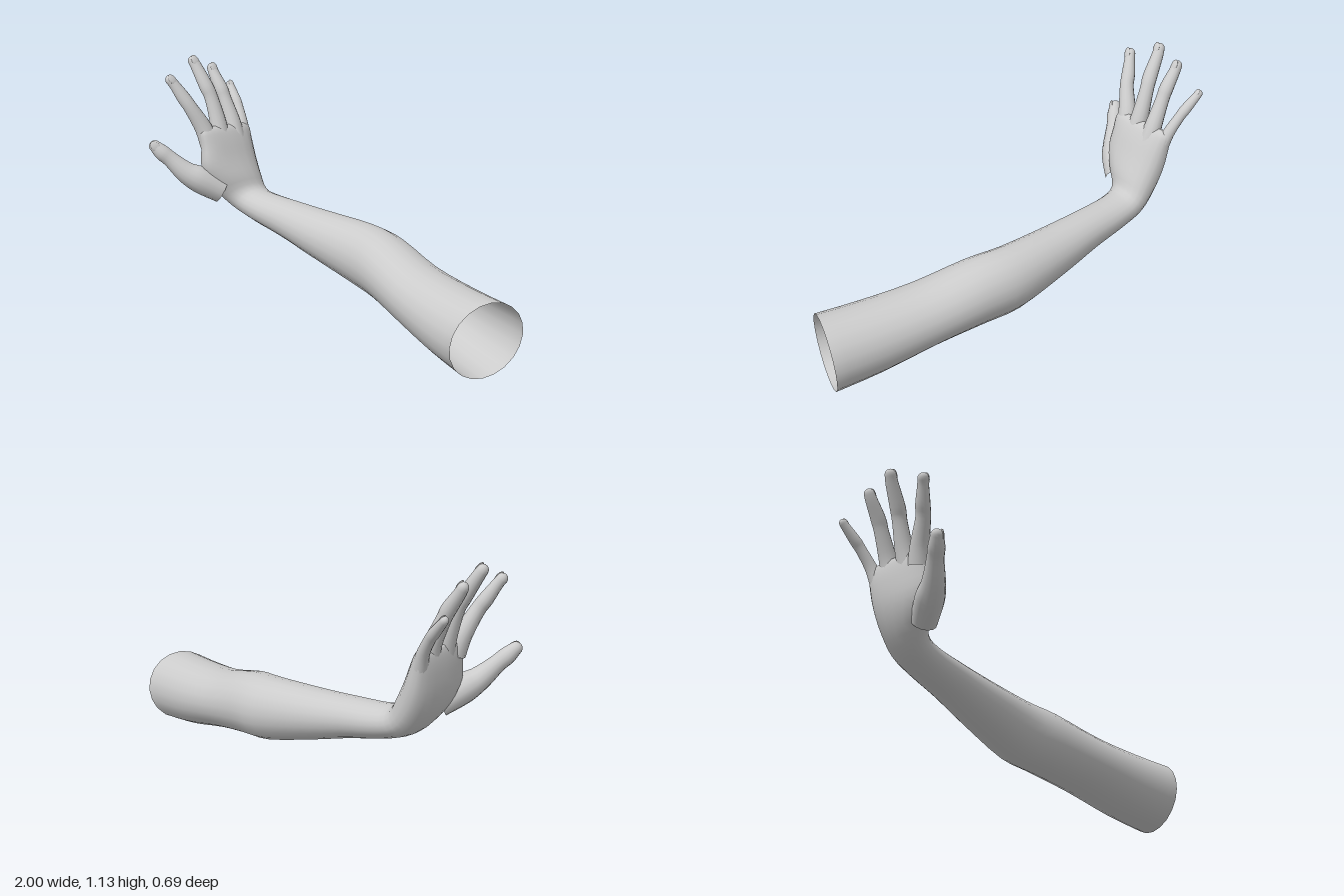
import * as THREE from 'three';

const V = (x, y, z) => new THREE.Vector3(x, y, z);

// Skin a list of rings (equal point counts) with shared vertices for smooth shading
function loft(rings, capEnd) {
  const n = rings[0].length, pos = [], idx = [];
  rings.forEach(r => r.forEach(p => pos.push(p.x, p.y, p.z)));
  for (let i = 0; i < rings.length - 1; i++) {
    for (let j = 0; j < n; j++) {
      const a = i * n + j, b = i * n + (j + 1) % n;
      idx.push(a, b, a + n, b, b + n, a + n);
    }
  }
  if (capEnd) {
    const last = rings[rings.length - 1], c = V(0, 0, 0);
    last.forEach(p => c.addScaledVector(p, 1 / n));
    const k = pos.length / 3, o = (rings.length - 1) * n;
    pos.push(c.x, c.y, c.z);
    for (let j = 0; j < n; j++) idx.push(o + j, o + (j + 1) % n, k);
  }
  const g = new THREE.BufferGeometry();
  g.setAttribute('position', new THREE.Float32BufferAttribute(pos, 3));
  g.setIndex(idx);
  g.computeVertexNormals();
  return g;
}

// Smoothly interpolate rows of numbers
function resample(rows, steps) {
  const out = [], last = rows.length - 1;
  for (let k = 0; k <= last * steps; k++) {
    const i = Math.min(Math.floor(k / steps), last - 1), t = k / steps - i;
    const at = m => rows[Math.max(0, Math.min(last, m))];
    out.push(rows[i].map((_, c) => {
      const p0 = at(i - 1)[c], p1 = at(i)[c], p2 = at(i + 1)[c], p3 = at(i + 2)[c];
      return p1 + 0.5 * t * (p2 - p0 + t * (2 * p0 - 5 * p1 + 4 * p2 - p3 + t * (3 * (p1 - p2) + p3 - p0)));
    }));
  }
  return out;
}

// Arm and palm: upper x,y, lower x,y, z back, z front, x skew, y skew, squareness
const ARM = [
  [0.975, 0.35, 0.94, 0.005, -0.29, 0.06, -0.22, 0, 1],
  [0.75, 0.357, 0.73, 0.04, -0.305, 0.035, -0.1, 0, 1],
  [0.5, 0.38, 0.48, 0.1, -0.32, 0.0, 0, 0, 1],
  [0.25, 0.44, 0.25, 0.142, -0.342, -0.043, 0, 0, 1],
  [0.07, 0.457, 0.07, 0.165, -0.343, -0.064, 0, 0, 1],
  [-0.2, 0.465, -0.2, 0.235, -0.288, -0.046, 0, 0, 1],
  [-0.4, 0.475, -0.4, 0.292, -0.24, -0.03, 0, 0, 1],
  [-0.56, 0.485, -0.58, 0.335, -0.205, -0.008, 0, 0, 1],
  [-0.63, 0.505, -0.71, 0.385, -0.188, 0.02, 0, 0, 0.95],
  [-0.655, 0.57, -0.785, 0.47, -0.186, 0.085, 0.05, 0, 0.9],
  [-0.69, 0.65, -0.825, 0.57, -0.188, 0.135, 0.1, 0, 0.85],
  [-0.725, 0.73, -0.835, 0.68, -0.188, 0.13, 0.15, 0.03, 0.8],
  [-0.757, 0.785, -0.83, 0.755, -0.187, 0.13, 0.16, 0.06, 0.8],
  [-0.785, 0.8, -0.82, 0.785, -0.165, 0.11, 0.16, 0.07, 0.85],
];

function armGeometry() {
  const sides = 20;
  const pw = (v, e) => Math.sign(v) * Math.abs(v) ** e;
  const rings = resample(ARM, 3).map(([tx, ty, bx, by, zb, zf, sx, sy, e]) => {
    const ring = [];
    for (let j = 0; j < sides; j++) {
      const a = j / sides * Math.PI * 2;
      const c = pw(Math.cos(a), e), s = pw(Math.sin(a), e), dz = c * (zf - zb) / 2;
      ring.push(V(
        (tx + bx) / 2 + s * (tx - bx) / 2 + sx * dz,
        (ty + by) / 2 + s * (ty - by) / 2 + sy * dz,
        (zb + zf) / 2 + dz));
    }
    return ring;
  });
  return loft(rings, true);
}

// Digits: rows of x, y, z, radius from the root inside the palm to the tip
const DIGITS = {
  thumb: [[-0.715, 0.49, 0.05, 0.06], [-0.765, 0.55, 0.14, 0.066], [-0.8, 0.59, 0.2, 0.053],
    [-0.845, 0.655, 0.257, 0.039], [-0.87, 0.69, 0.29, 0.038], [-0.892, 0.722, 0.316, 0.029]],
  indexFinger: [[-0.775, 0.72, 0.075, 0.05], [-0.795, 0.8, 0.098, 0.043], [-0.825, 0.9, 0.148, 0.034],
    [-0.85, 0.95, 0.172, 0.033], [-0.878, 1.01, 0.202, 0.026], [-0.892, 1.036, 0.217, 0.025]],
  middleFinger: [[-0.775, 0.72, 0.01, 0.05], [-0.8, 0.81, 0.006, 0.042], [-0.84, 0.93, 0.016, 0.034],
    [-0.865, 0.985, 0.028, 0.035], [-0.915, 1.07, 0.045, 0.029], [-0.935, 1.105, 0.055, 0.026]],
  ringFinger: [[-0.785, 0.72, -0.085, 0.05], [-0.81, 0.8, -0.087, 0.041], [-0.86, 0.91, -0.078, 0.033],
    [-0.885, 0.96, -0.073, 0.034], [-0.93, 1.025, -0.066, 0.028], [-0.948, 1.055, -0.064, 0.025]],
  littleFinger: [[-0.8, 0.69, -0.148, 0.038], [-0.835, 0.775, -0.164, 0.029], [-0.885, 0.85, -0.177, 0.025],
    [-0.915, 0.885, -0.182, 0.026], [-0.963, 0.935, -0.19, 0.021], [-0.979, 0.952, -0.192, 0.019]],
};

function digit(name, rows, material) {
  const group = new THREE.Group();
  group.name = name;
  const sides = 14, pts = resample(rows, 4), rings = [];
  const back = name === 'thumb' ? V(1, 0.2, 0.55) : V(1, 0.3, 0);
  const at = i => V(...pts[i].slice(0, 3));
  const frame = i => {
    const t = at(Math.min(i + 1, pts.length - 1)).sub(at(Math.max(i - 1, 0))).normalize();
    const d = back.clone().addScaledVector(t, -back.dot(t)).normalize();
    return { t, d, s: d.clone().cross(t) };
  };
  const addRing = (c, r, f) => {
    const ring = [];
    for (let j = 0; j < sides; j++) {
      const a = j / sides * Math.PI * 2;
      ring.push(c.clone().addScaledVector(f.s, r * Math.cos(a)).addScaledVector(f.d, r * 0.95 * Math.sin(a)));
    }
    rings.push(ring);
  };
  pts.forEach((p, i) => addRing(at(i), p[3], frame(i)));
  // Rounded tip
  const end = pts.length - 1, f = frame(end), r = pts[end][3];
  for (let k = 1; k <= 4; k++) {
    const a = k / 4.3 * Math.PI / 2;
    addRing(at(end).addScaledVector(f.t, r * Math.sin(a)), r * Math.cos(a), f);
  }
  const skin = new THREE.Mesh(loft(rings, true), material);
  skin.name = name + 'Skin';
  // Nail on the back of the tip
  const nail = new THREE.Mesh(new THREE.SphereGeometry(1, 14, 10), material);
  nail.name = name + 'Nail';
  nail.scale.set(r * 0.75, r * 1.1, r * 0.3);
  nail.quaternion.setFromRotationMatrix(new THREE.Matrix4().makeBasis(f.t.clone().cross(f.d), f.t, f.d));
  nail.position.copy(at(end)).addScaledVector(f.d, r * 0.72).addScaledVector(f.t, -r * 0.15);
  group.add(skin, nail);
  return group;
}

export function createModel() {
  const model = new THREE.Group();
  model.name = 'arm';
  const skin = new THREE.MeshStandardMaterial({ color: 0xcccccc });
  const openSkin = new THREE.MeshStandardMaterial({ color: 0xcccccc, side: THREE.DoubleSide });

  // Forearm, wrist and palm in one skin, open at the upper arm
  const arm = new THREE.Mesh(armGeometry(), openSkin);
  arm.name = 'armAndPalm';
  model.add(arm);

  const hand = new THREE.Group();
  hand.name = 'digits';
  for (const [name, rows] of Object.entries(DIGITS)) hand.add(digit(name, rows, skin));
  model.add(hand);
  return model;
}
